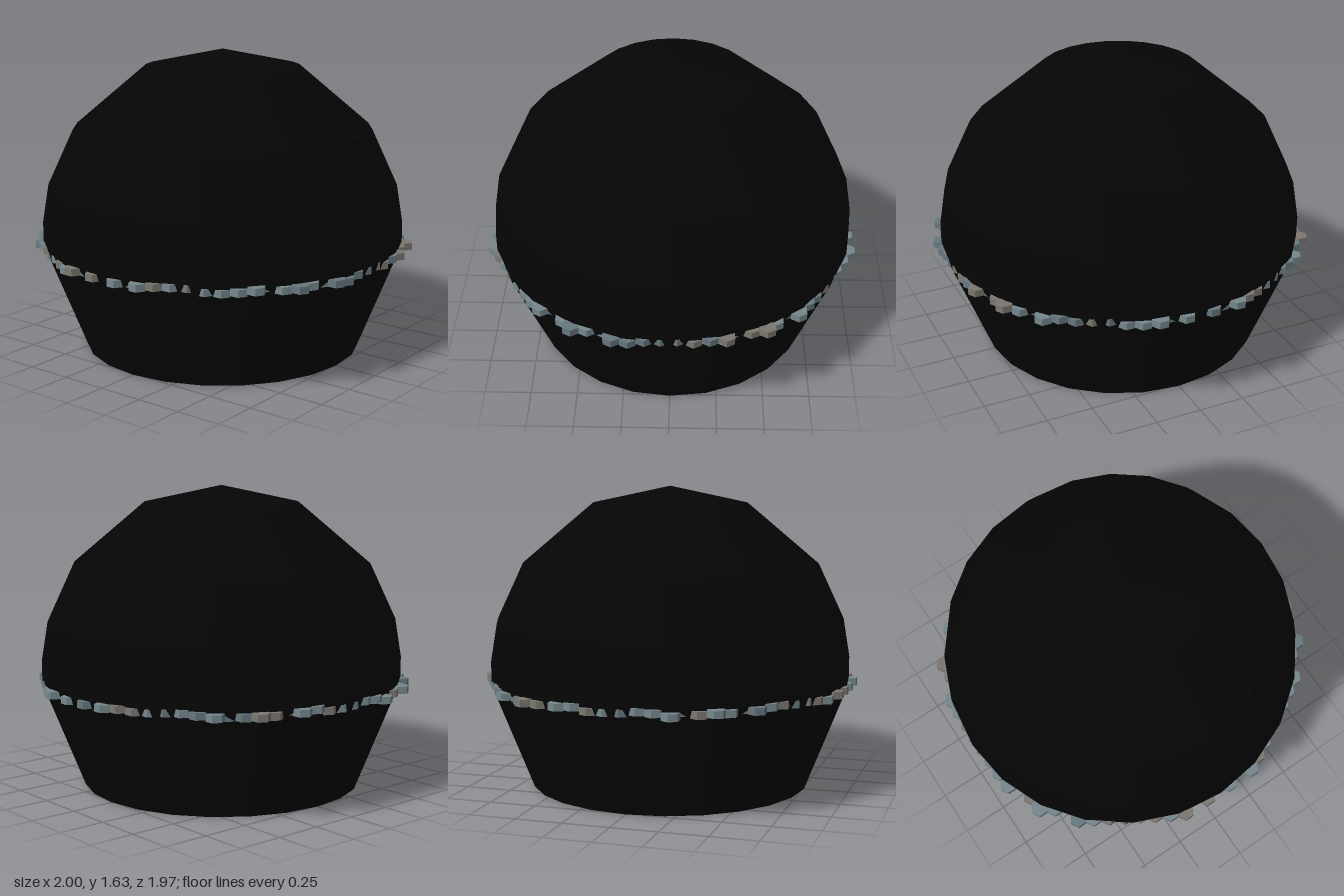
import * as THREE from 'three';
import { mergeGeometries } from 'three/addons/utils/BufferGeometryUtils.js';

// Repeatable noise in 0..1
function seeded(seed) {
  let s = seed;
  return () => (s = (s * 16807) % 2147483647) / 2147483647;
}

export function createModel() {
  const group = new THREE.Group();
  group.name = 'domeWithTiledFloor';

  // Faceted dome shell, open at the bottom
  const profile = [
    [0.76, 0], [0.975, 0.545], [0.985, 0.59], [0.985, 0.7], [0.95, 0.91],
    [0.81, 1.21], [0.42, 1.54], [0, 1.63],
  ].map(([r, y]) => new THREE.Vector2(r, y));
  const shell = new THREE.Mesh(
    new THREE.LatheGeometry(profile, 24),
    new THREE.MeshStandardMaterial({ color: 0x050505, flatShading: true, side: THREE.DoubleSide }),
  );
  shell.name = 'domeShell';
  group.add(shell);

  // Disc of hexagonal tiles, slightly uneven in height, in a few stone tones
  const pitch = 1 / 12;
  const radius = pitch / Math.sqrt(3);
  const tones = [0x66787f, 0x76888e, 0x7c7870];
  const tiles = tones.map(() => []);
  const random = seeded(71);
  for (let row = -13; row <= 13; row++) {
    const shift = row % 2 ? 0.5 : 0;
    for (let col = -12; col <= 12; col++) {
      const u = col + shift;
      if (Math.abs(u) > 11.9 || u * u + 0.75 * row * row > 144.1) continue;
      const tile = new THREE.CylinderGeometry(radius, radius, 0.038, 6);
      tile.translate(u * pitch, 0.567 + (random() - 0.5) * 0.022, row * radius * 1.5);
      tiles[Math.floor(random() * tones.length)].push(tile);
    }
  }
  const floor = new THREE.Group();
  floor.name = 'tileFloor';
  tones.forEach((color, i) => {
    const mesh = new THREE.Mesh(
      mergeGeometries(tiles[i]),
      new THREE.MeshStandardMaterial({ color, flatShading: true }),
    );
    mesh.name = 'hexTiles' + (i + 1);
    floor.add(mesh);
  });
  group.add(floor);

  return group;
}
